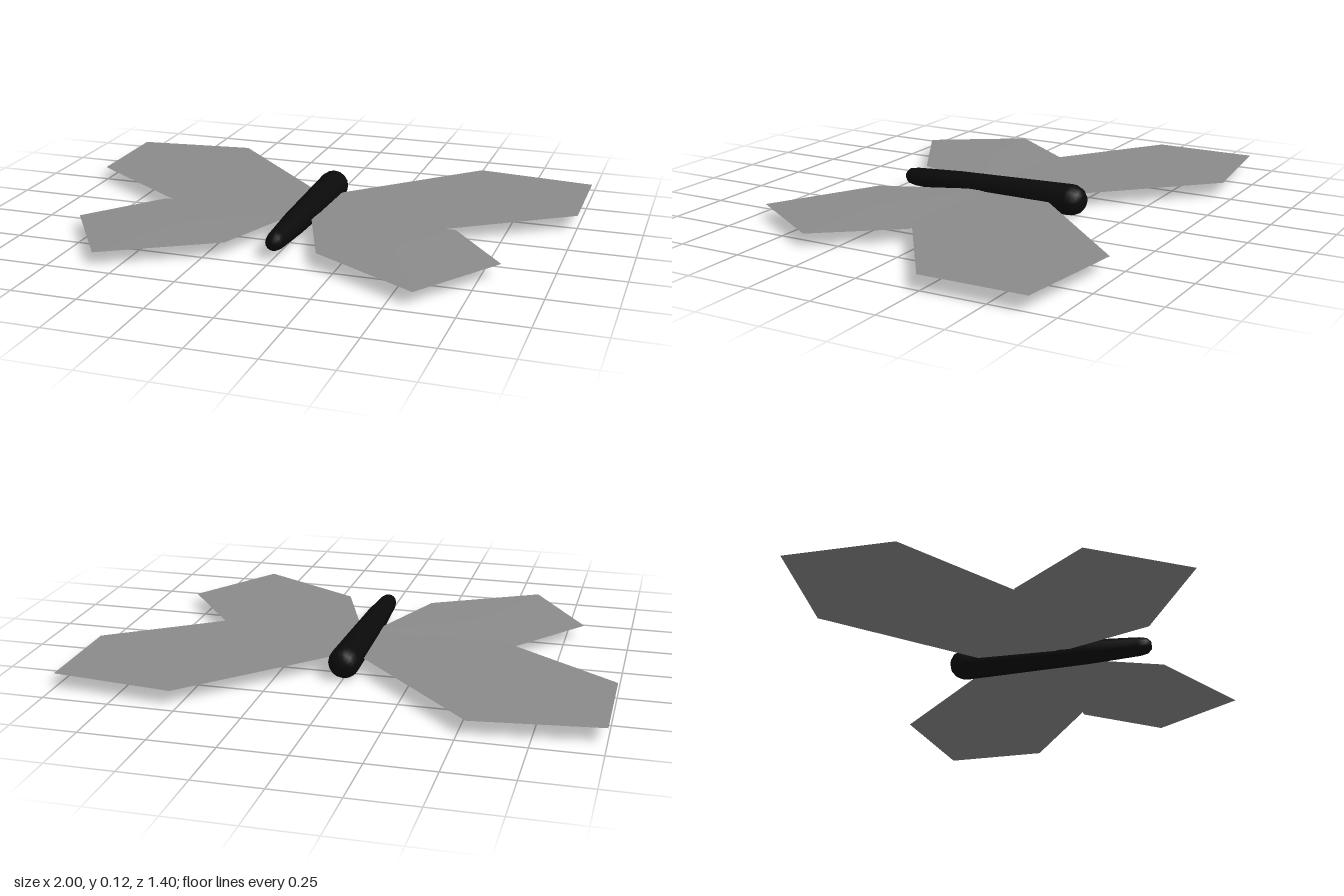
import * as THREE from 'three';

const wingGrey = new THREE.MeshStandardMaterial({ color: 0x8c8b8b, side: THREE.DoubleSide, flatShading: true });
wingGrey.name = 'wing grey';
const bodyBlack = new THREE.MeshStandardMaterial({ color: 0x0a0a0a });
bodyBlack.name = 'body black';

// Thin sheet: a fan of triangles from a hub to an outline of [x, y, z] corners
function wing(name, hub, rim, side) {
  const pts = [];
  const put = ([x, y, z]) => pts.push(x * side, y, z);
  rim.forEach((p, i) => {
    const q = rim[(i + 1) % rim.length];
    // Keep the upper face as the front on both sides
    (side > 0 ? [hub, q, p] : [hub, p, q]).forEach(put);
  });
  const geo = new THREE.BufferGeometry();
  geo.setAttribute('position', new THREE.Float32BufferAttribute(pts, 3));
  geo.computeVertexNormals();
  const mesh = new THREE.Mesh(geo, wingGrey);
  mesh.name = name;
  return mesh;
}

export function createModel() {
  const group = new THREE.Group();
  group.name = 'butterfly';

  // Tapered body, thick at the head (-z) and rounded at both ends
  const profile = [
    [0, -0.35], [0.027, -0.35], [0.046, -0.335], [0.058, -0.31], [0.06, -0.29],
    [0.047, 0.2], [0.036, 0.4], [0.03, 0.43], [0.016, 0.444], [0, 0.445],
  ].map(([r, z]) => new THREE.Vector2(r, z));
  const body = new THREE.Mesh(new THREE.LatheGeometry(profile, 16).rotateX(Math.PI / 2), bodyBlack);
  body.position.y = 0.062;
  body.name = 'body';
  group.add(body);

  // Flat forewings and slightly folded hindwings, mirrored
  const foreRim = [
    [0, 0.057, -0.17], [0.53, 0.057, -0.705], [1, 0.057, -0.65],
    [1, 0.057, -0.24], [0.53, 0.057, 0.083], [0, 0.057, 0.083],
  ];
  const hindRim = [
    [0, 0.059, 0.06], [0.59, 0.053, 0.055], [0.82, 0.053, 0.35],
    [0.59, 0.053, 0.7], [0.175, 0.057, 0.465], [0.02, 0.06, 0.06],
  ];
  for (const [label, side] of [['left', 1], ['right', -1]]) {
    group.add(wing(label + 'Forewing', [0.45, 0.057, -0.25], foreRim, side));
    group.add(wing(label + 'Hindwing', [0.42, 0.061, 0.32], hindRim, side));
  }
  return group;
}
